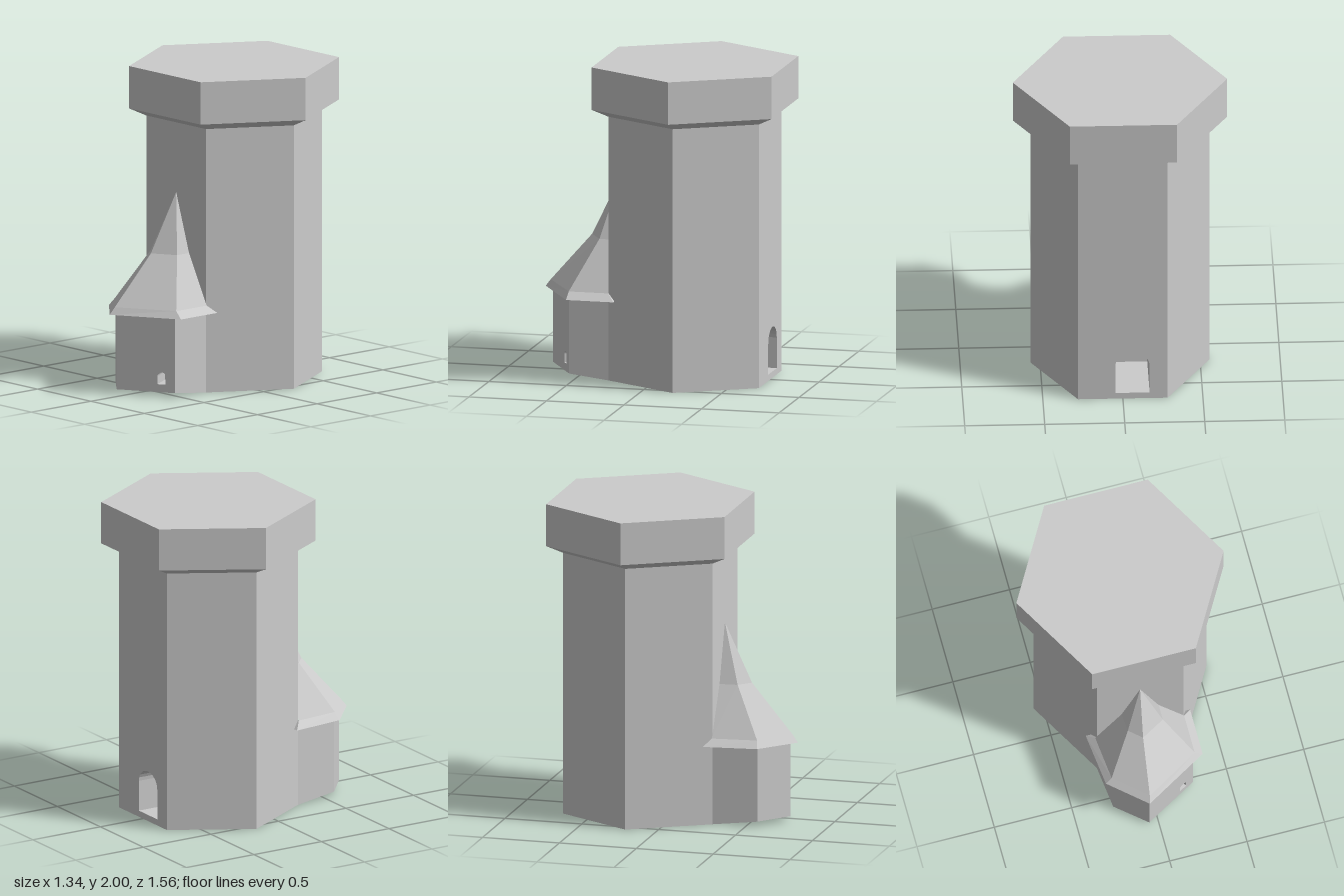
import * as THREE from 'three';

const material = new THREE.MeshStandardMaterial({ color: 0xcccccc, flatShading: true });

// Flat-shaded mesh from convex polygons (corners counter-clockwise from outside)
function polyMesh(name, polygons) {
  const pos = [];
  for (const p of polygons) {
    for (let i = 1; i < p.length - 1; i++) {
      const same = p[i].every((c, k) => c === p[i + 1][k]);
      if (!same) pos.push(...p[0], ...p[i], ...p[i + 1]);
    }
  }
  const geo = new THREE.BufferGeometry();
  geo.setAttribute('position', new THREE.Float32BufferAttribute(pos, 3));
  geo.computeVertexNormals();
  const mesh = new THREE.Mesh(geo, material);
  mesh.name = name;
  return mesh;
}

// Side faces between two matching rings; open rings leave out the closing face
function sides(lower, upper, closed = true, skip = -1) {
  const n = lower.length, out = [];
  for (let i = 0; i < (closed ? n : n - 1); i++) {
    const j = (i + 1) % n;
    if (i !== skip) out.push([lower[i], lower[j], upper[j], upper[i]]);
  }
  return out;
}

const ringAt = (points, y) => points.map(([x, z]) => [x, y, z]);
const flip = ring => [...ring].reverse();

// Hexagon with corners on +x and -x, centred on the tower axis
function hexagon(radius, y) {
  return Array.from({ length: 6 }, (_, i) => {
    const t = Math.PI / 6 + i * Math.PI / 3;
    return [radius * Math.sin(t), y, radius * Math.cos(t) - 0.2];
  });
}

// Wall from corner a to corner b (left to right from outside) with an arched recess
function archedWall(name, a, b, height, arch) {
  const group = new THREE.Group();
  group.name = name;
  const along = new THREE.Vector3(b[0] - a[0], 0, b[2] - a[2]);
  const width = along.length();
  along.normalize();
  const up = new THREE.Vector3(0, 1, 0);
  const out = new THREE.Vector3().crossVectors(along, up);

  // Arch outline, counter-clockwise
  const { x, sill, halfWidth, spring, rise, depth } = arch;
  const outline = [[x - halfWidth, sill], [x + halfWidth, sill]];
  for (let i = 0; i <= 12; i++) {
    const t = i / 12 * Math.PI;
    outline.push([x + halfWidth * Math.cos(t), spring + rise * Math.sin(t)]);
  }

  const shape = new THREE.Shape([[0, 0], [width, 0], [width, height], [0, height]]
    .map(p => new THREE.Vector2(...p)));
  shape.holes.push(new THREE.Path(outline.map(p => new THREE.Vector2(...p))));
  const wall = new THREE.Mesh(new THREE.ShapeGeometry(shape), material);
  wall.name = 'wallFace';

  const front = outline.map(([u, v]) => [u, v, 0]);
  const back = outline.map(([u, v]) => [u, v, -depth]);
  const recess = polyMesh('archRecess', [...sides(front, back), back]);

  group.add(wall, recess);
  group.applyMatrix4(new THREE.Matrix4().makeBasis(along, up, out).setPosition(...a));
  return group;
}

export function createModel() {
  const model = new THREE.Group();
  model.name = 'tower';

  // Main shaft, with the doorway in its back face
  const foot = hexagon(0.56, 0), neck = hexagon(0.56, 1.68);
  model.add(polyMesh('towerShaft', [...sides(foot, neck, true, 2), flip(foot)]));
  model.add(archedWall('towerBackWall', foot[2], foot[3], 1.68,
    { x: 0.34, sill: 0.04, halfWidth: 0.107, spring: 0.235, rise: 0.09, depth: 0.4 }));

  // Overhanging crown
  const crownLow = hexagon(0.67, 1.73), crownTop = hexagon(0.67, 2);
  model.add(polyMesh('towerCrown',
    [...sides(neck, crownLow), ...sides(crownLow, crownTop), crownTop]));

  // Side turret, leaning on the front of the shaft
  const plan = [[-0.28, 0.285], [-0.25, 0.57], [-0.06, 0.73], [0.275, 0.54], [0.28, 0.285]];
  const turretLow = ringAt(plan, 0.03);
  turretLow[0][1] = turretLow[4][1] = 0;
  const turretTop = ringAt(plan, 0.51);
  model.add(polyMesh('turretWalls', [...sides(turretLow, turretTop, false, 2), flip(turretLow)]));
  model.add(archedWall('turretWindowWall', turretLow[2], turretLow[3], 0.48,
    { x: 0.296, sill: 0.05, halfWidth: 0.027, spring: 0.1, rise: 0.027, depth: 0.15 }));

  // Turret roof: flared eave, then two slopes up to the tip
  const eave = ringAt([[-0.34, 0.24], [-0.3, 0.58], [-0.07, 0.78], [0.335, 0.545], [0.335, 0.24]], 0.51);
  const flare = ringAt([[-0.29, 0.285], [-0.26, 0.57], [-0.06, 0.745], [0.285, 0.54], [0.285, 0.285]], 0.555);
  const middle = ringAt([[-0.12, 0.285], [-0.11, 0.4], [-0.03, 0.47], [0.12, 0.385], [0.12, 0.285]], 0.865);
  const tip = ringAt(plan.map(() => [0, 0.285]), 1.235);
  model.add(polyMesh('turretRoof', [flip(eave), ...sides(eave, flare),
    ...sides(flare, middle, false), ...sides(middle, tip, false)]));

  return model;
}
